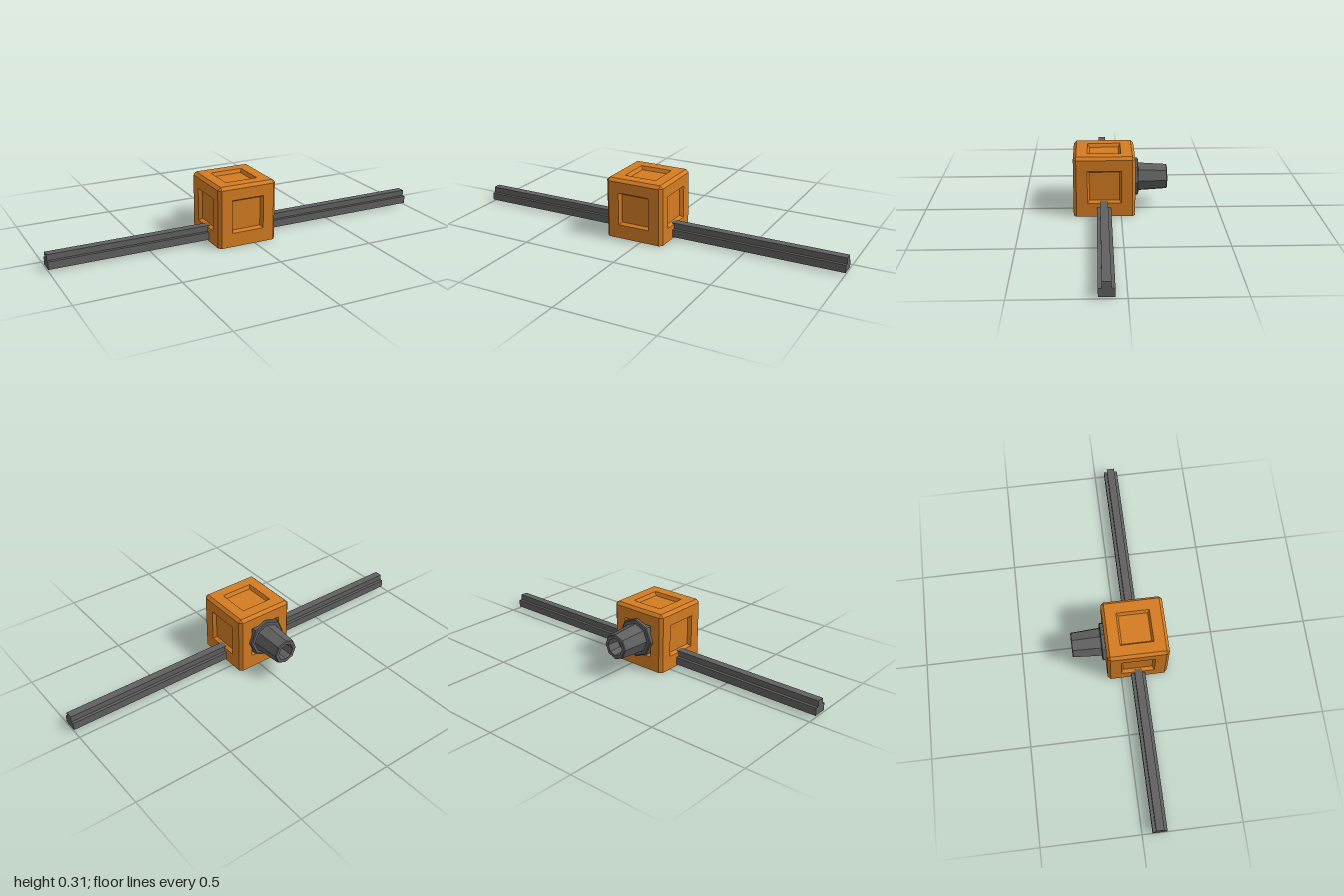
import * as THREE from 'three';

const HALF = 0.155;   // half width of the cube
const IN = 0.14;      // half width of a flat face inside the chamfers
const H = 0.31;       // cube height
const CX = -0.038, CZ = 0.0845, CY = 0.157;

// Flat-shaded geometry from polygons (corners counter-clockwise seen from outside)
function polygons(list) {
  const pos = [];
  for (const p of list) {
    for (let i = 1; i < p.length - 1; i++) pos.push(...p[0], ...p[i], ...p[i + 1]);
  }
  const g = new THREE.BufferGeometry();
  g.setAttribute('position', new THREE.Float32BufferAttribute(pos, 3));
  g.computeVertexNormals();
  return g;
}

// Face in the z = HALF plane with a square bevelled recess around its middle
function recessedFace(bottom, top) {
  const loop = (x, y0, y1, z) => [[-x, y0, z], [x, y0, z], [x, y1, z], [-x, y1, z]];
  const rings = [
    loop(IN, bottom, top, HALF),
    loop(0.085, -0.084, 0.084, HALF),
    loop(0.075, -0.074, 0.074, HALF - 0.018),
  ];
  const faces = [rings[2]];
  for (let r = 0; r < 2; r++) {
    for (let i = 0; i < 4; i++) {
      const j = (i + 1) % 4;
      faces.push([rings[r][i], rings[r][j], rings[r + 1][j], rings[r + 1][i]]);
    }
  }
  return polygons(faces);
}

export function createModel() {
  const orange = new THREE.MeshStandardMaterial({ color: 0xd47c22 });
  orange.name = 'orange';
  const grey = new THREE.MeshStandardMaterial({ color: 0x606060 });
  grey.name = 'dark grey';

  const model = new THREE.Group();
  model.name = 'sliderAssembly';
  const add = (parent, name, geometry, material) => {
    const mesh = new THREE.Mesh(geometry, material);
    mesh.name = name;
    parent.add(mesh);
    return mesh;
  };

  // Cube body, centred on its own axis
  const body = new THREE.Group();
  body.name = 'body';
  body.position.set(CX, H / 2, CZ);
  model.add(body);

  const yTop = H / 2, yEdge = IN, yBase = -H / 2;
  ['front', 'left', 'back', 'right'].forEach((side, k) => {
    const turn = k * Math.PI / 2;
    add(body, side + 'Panel', recessedFace(yBase, yEdge), orange).rotation.y = turn;
    // Upper bevel, upright corner bevel and the small corner triangle
    add(body, side + 'Bevels', polygons([
      [[-IN, yEdge, HALF], [IN, yEdge, HALF], [IN, yTop, IN], [-IN, yTop, IN]],
      [[IN, yBase, HALF], [HALF, yBase, IN], [HALF, yEdge, IN], [IN, yEdge, HALF]],
      [[IN, yEdge, HALF], [HALF, yEdge, IN], [IN, yTop, IN]],
    ]), orange).rotation.y = turn;
  });
  add(body, 'topPanel', recessedFace(-IN, IN), orange).rotation.x = -Math.PI / 2;

  // Flat underside with cut corners
  const under = [
    [-IN, -HALF], [IN, -HALF], [HALF, -IN], [HALF, IN],
    [IN, HALF], [-IN, HALF], [-HALF, IN], [-HALF, -IN],
  ].map(([x, z]) => [x, yBase, z]);
  add(body, 'underside', polygons([under]), orange);

  // T-section rail running through the cube
  const section = new THREE.Shape([
    [-0.036, 0.009], [0.036, 0.009], [0.036, 0.048], [0.02, 0.048],
    [0.02, 0.078], [-0.02, 0.078], [-0.02, 0.048], [-0.036, 0.048],
  ].map(([x, y]) => new THREE.Vector2(x, y)));
  const rail = new THREE.ExtrudeGeometry(section, { depth: 2, bevelEnabled: false });
  rail.translate(0, 0, -1).rotateY(Math.PI / 2);
  add(model, 'rail', rail, grey).position.z = 0.087;

  // Eight-sided flange and hollow tapered knob on the back
  const lathe = (points) => {
    const g = new THREE.LatheGeometry(points.map(([r, d]) => new THREE.Vector2(r, d)), 8)
      .rotateX(-Math.PI / 2).toNonIndexed();
    g.computeVertexNormals();
    return g;
  };
  const knob = new THREE.Group();
  knob.name = 'knob';
  knob.position.set(CX, CY, 0);
  model.add(knob);
  add(knob, 'flange', lathe([
    [0, 0.053], [0.101, 0.053], [0.101, 0.085], [0.095, 0.089], [0.076, 0.089],
  ]), grey);
  add(knob, 'grip', lathe([
    [0.08, 0.087], [0.075, 0.094], [0.066, 0.233], [0.062, 0.237],
    [0.045, 0.237], [0.04, 0.17], [0, 0.17],
  ]), grey);

  return model;
}
